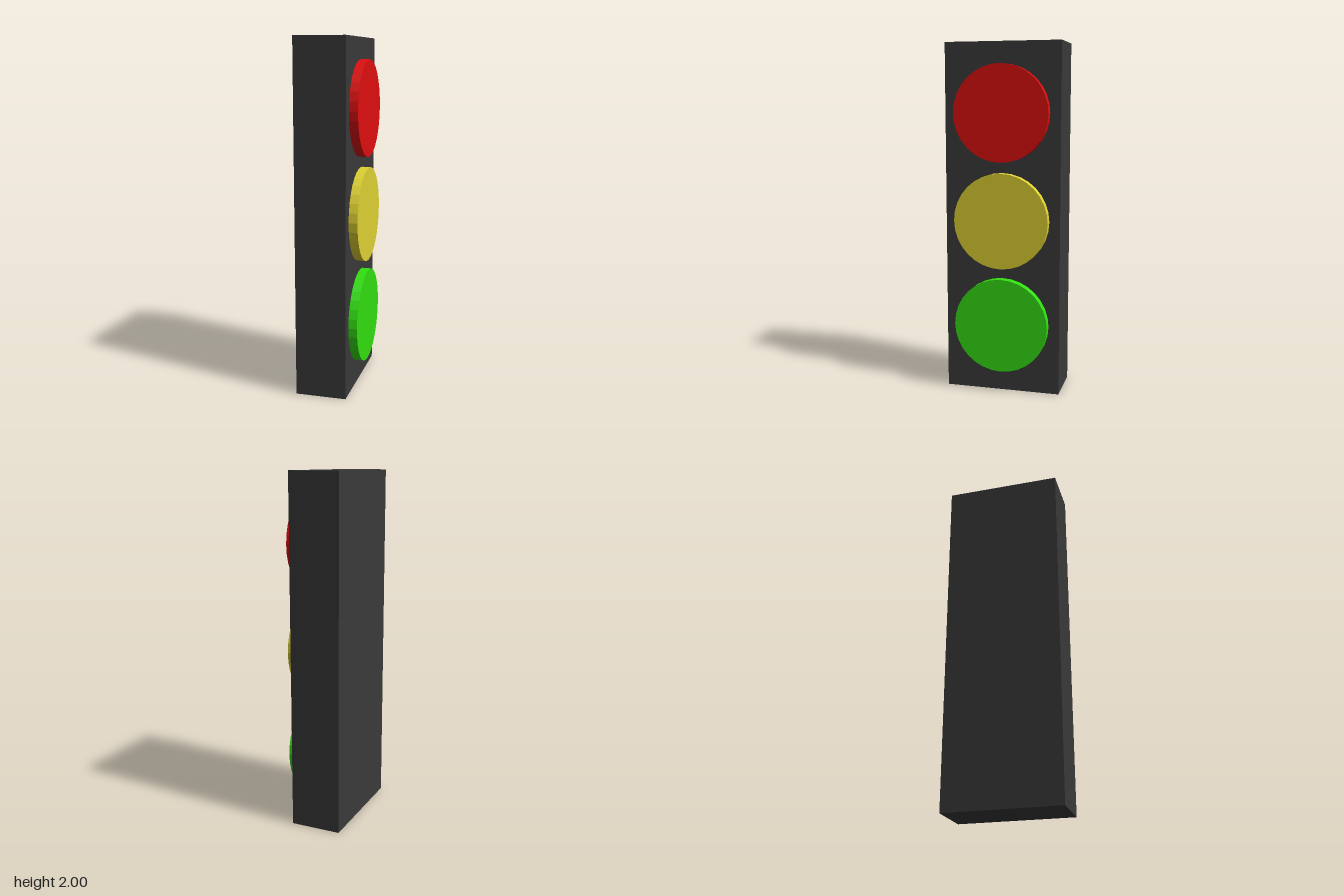
import * as THREE from 'three';

export function createModel() {
  const group = new THREE.Group();
  group.name = 'trafficLight';

  const material = (name, color) => {
    const m = new THREE.MeshStandardMaterial({ color, flatShading: true });
    m.name = name;
    return m;
  };

  // Upright housing
  const housing = new THREE.Mesh(
    new THREE.BoxGeometry(0.29, 2, 0.666),
    material('dark grey', 0x3a3a3a)
  );
  housing.name = 'housing';
  housing.position.set(-0.025, 1, 0);
  group.add(housing);

  // Three lamp discs on the +x face, sunk slightly into the housing
  const lampGeometry = new THREE.CylinderGeometry(0.272, 0.272, 0.07, 32);
  lampGeometry.rotateZ(-Math.PI / 2);
  const lamps = [
    ['redLamp', 'red', 0xdf0f0f, 1.607],
    ['yellowLamp', 'yellow', 0xdfd132, 1.002],
    ['greenLamp', 'green', 0x32df11, 0.397],
  ];
  for (const [name, colorName, color, y] of lamps) {
    const lamp = new THREE.Mesh(lampGeometry, material(colorName, color));
    lamp.name = name;
    lamp.position.set(0.135, y, 0);
    group.add(lamp);
  }

  return group;
}
